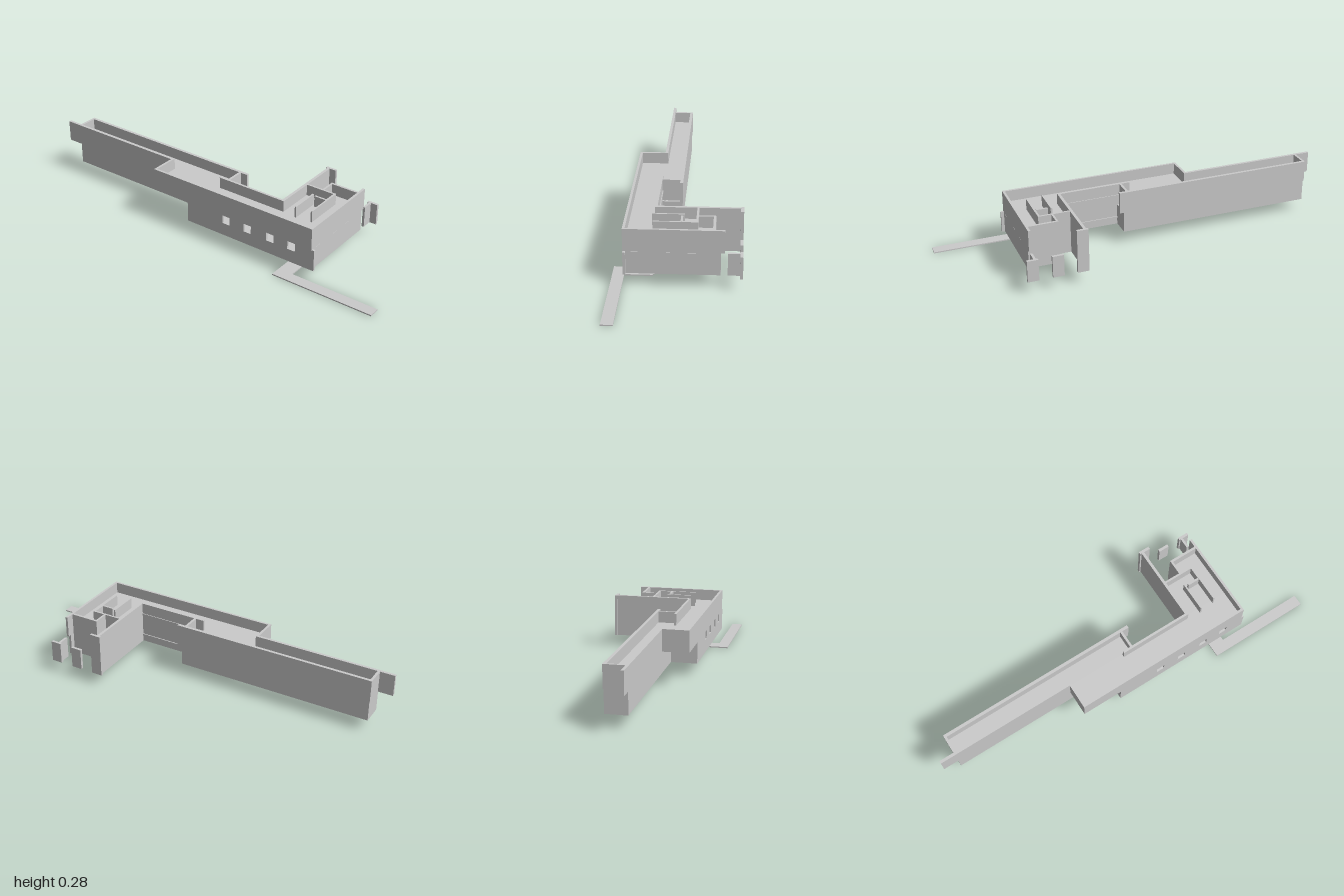
import * as THREE from 'three';

const Y0 = 0.063, Y1 = 0.172, Y2 = 0.282; // ground, middle and top levels
const T = 0.012;                          // wall thickness

export function createModel() {
  const model = new THREE.Group();
  const mat = new THREE.MeshStandardMaterial({ color: 0xcccccc, flatShading: true });

  const add = (name, geo) => {
    const mesh = new THREE.Mesh(geo, mat);
    mesh.name = name;
    model.add(mesh);
    return mesh;
  };

  // Box given by its lower and upper limits
  const box = (name, x0, x1, y0, y1, z0, z1) =>
    add(name, new THREE.BoxGeometry(x1 - x0, y1 - y0, z1 - z0))
      .position.set((x0 + x1) / 2, (y0 + y1) / 2, (z0 + z1) / 2);

  const rect = (C, x0, x1, y0, y1) => {
    const r = new C();
    r.moveTo(x0, y0); r.lineTo(x1, y0); r.lineTo(x1, y1); r.lineTo(x0, y1);
    r.closePath();
    return r;
  };

  // Upright panel with rectangular openings
  const panel = (limits, holes) => {
    const s = rect(THREE.Shape, ...limits);
    holes.forEach(h => s.holes.push(rect(THREE.Path, ...h)));
    return new THREE.ExtrudeGeometry(s, { depth: T, bevelEnabled: false });
  };

  // Front wall: lower storey with four square windows, overhanging upper storey
  const windows = [0.155, 0.28, 0.41, 0.53].map(x => [x - 0.021, x + 0.021, 0.128, 0.17]);
  add('lowerFrontWall', panel([-0.08, 0.655, Y0, Y1], windows)).position.z = 0.227;
  box('upperFrontWall', -0.29, 0.64, Y1, Y2, 0.228, 0.24);
  box('lowerFrontBlockEnd', -0.08, -0.068, Y0, Y1, 0.1, 0.227);
  box('upperFrontBlockEnd', -0.29, -0.278, Y1, Y2, 0.1, 0.228);

  // End wall with narrow slots at the storey line
  const slots = [0.185, 0.045, -0.07].map(z => [-z - 0.018, -z + 0.018, 0.1695, 0.171]);
  const lowerEnd = add('lowerSideWall', panel([-0.227, 0.2, Y0, Y1], slots));
  lowerEnd.rotation.y = Math.PI / 2;
  lowerEnd.position.x = 0.628;
  box('upperSideWall', 0.628, 0.64, Y1, Y2, -0.217, 0.228);

  // Long wing, its upper storey standing slightly proud
  box('lowerWingBackWall', -0.922, 0.087, Y0, Y1, 0.001, 0.014);
  box('upperWingBackWall', -0.925, 0.11, Y1, Y2, -0.003, T);
  box('lowerWingOuterEnd', -0.922, -0.91, Y0, Y1, 0.014, 0.096);
  box('upperWingOuterEnd', -0.925, -0.913, Y1, Y2, T, 0.096);
  box('lowerWingFrontWall', -0.922, -0.08, Y0, Y1, 0.095, 0.107);
  box('upperWingFrontWall', -1, -0.278, Y1, Y2, 0.096, 0.11);
  box('lowerWingInnerEnd', 0.075, 0.087, Y0, Y1, 0.014, 0.1);
  box('upperWingInnerEnd', 0.062, 0.074, Y1, Y2, T, 0.1);

  // Courtyard walls and the rear block
  box('courtyardWall', 0.02, 0.39, Y0, Y2, 0.1, 0.112);
  box('rearBlockInnerWall', 0.383, 0.397, Y0, Y2, -0.288, 0.112);
  box('rearReturnWall', 0.375, 0.432, Y0, Y2, -0.3, -0.286);
  box('rearPier', 0.497, 0.553, Y0, Y1, -0.3, -0.286);
  box('rearCornerPier', 0.62, 0.675, Y0, Y1, -0.3, -0.286);
  box('rearCornerWall', 0.628, 0.64, Y0, Y1, -0.286, -0.231);

  // Rooms in the rear block
  box('roomWall', 0.397, 0.555, Y0, Y2, -0.095, -0.085);
  box('roomWall', 0.48, 0.628, Y0, Y2, -0.175, -0.163);
  box('roomWall', 0.48, 0.49, Y0, Y2, -0.163, -0.095);
  box('roomWall', 0.545, 0.555, Y0, Y2, -0.085, -0.02);
  box('roomWall', 0.485, 0.545, Y0, Y2, -0.025, -0.015);
  box('stairSideWall', 0.465, 0.473, Y0, Y2, -0.03, 0.12);
  box('stairSideWall', 0.547, 0.555, Y0, Y2, -0.02, 0.11);

  // Floors as adjoining slabs, set above the foot of the walls
  const floor = (name, y, slabs) =>
    slabs.forEach(([x0, x1, z0, z1]) => box(name, x0, x1, y - 0.01, y, z0, z1));
  floor('lowerFloor', 0.105, [
    [-0.91, 0.075, 0.014, 0.095],
    [-0.068, 0.628, 0.095, 0.227],
    [0.397, 0.465, -0.085, 0.095],
    [0.555, 0.628, -0.085, 0.095],
    [0.49, 0.628, -0.163, -0.085],
  ]);
  floor('upperFloor', 0.225, [
    [-0.913, 0.062, T, 0.096],
    [-0.278, 0.628, 0.096, 0.228],
    [0.397, 0.628, -0.085, 0.096],
    [0.49, 0.628, -0.163, -0.085],
  ]);

  // Ground path, the steps up to the entrance and a second flight indoors
  box('path', 0.47, 1, 0, 0.006, 0.245, 0.3);
  box('pathToSteps', 0.47, 0.545, 0, 0.006, 0.113, 0.245);
  const flight = (name, x0, x1, n, y, rise, z, run) => {
    for (let i = 0; i < n; i++) {
      const yi = y + i * rise, zi = z + i * run;
      box(name, x0, x1, yi, yi + 0.0045, zi - 0.0063, zi + 0.0063);
    }
  };
  flight('entranceStep', 0.473, 0.545, 12, 0.007, 0.0047, 0.109, -0.0108);
  flight('innerStep', 0.51, 0.547, 12, 0.105, 0.0055, -0.008, 0.0095);
  return model;
}
